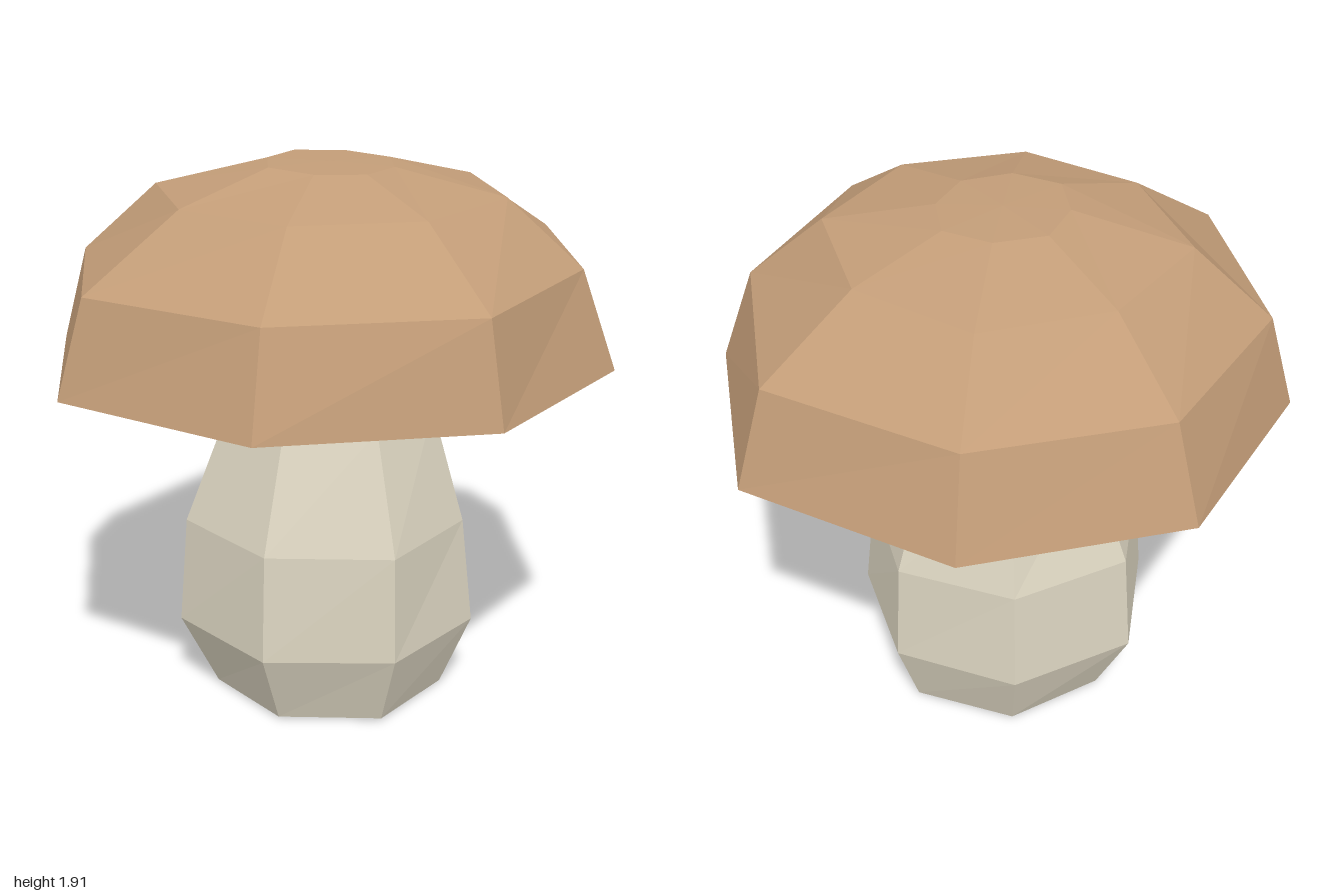
import * as THREE from 'three';

// A ring is { y, r: [radius per corner], tilt }, corners running from +x towards +z.
function corner(ring, i) {
  const n = ring.r.length;
  const a = (i % n) * Math.PI * 2 / n;
  const x = Math.cos(a) * ring.r[i % n];
  return [x, ring.y + x * (ring.tilt || 0), Math.sin(a) * ring.r[i % n]];
}

// Faceted skin through the rings, optionally closed by fans at either end.
function skin(rings, { bottom, top } = {}) {
  const n = rings[0].r.length;
  const pos = [];
  for (let i = 0; i < n; i++) {
    for (let j = 0; j + 1 < rings.length; j++) {
      const a = corner(rings[j], i), b = corner(rings[j], i + 1);
      const c = corner(rings[j + 1], i), d = corner(rings[j + 1], i + 1);
      pos.push(...a, ...c, ...b, ...b, ...c, ...d);
    }
    const first = rings[0], last = rings[rings.length - 1];
    if (bottom !== undefined) pos.push(0, bottom, 0, ...corner(first, i), ...corner(first, i + 1));
    if (top !== undefined) pos.push(0, top, 0, ...corner(last, i + 1), ...corner(last, i));
  }
  const g = new THREE.BufferGeometry();
  g.setAttribute('position', new THREE.Float32BufferAttribute(pos, 3));
  g.computeVertexNormals();
  return g;
}

export function createModel() {
  const brown = new THREE.MeshStandardMaterial({ color: 0xc39d78 });
  brown.name = 'capBrown';
  const cream = new THREE.MeshStandardMaterial({ color: 0xdbd4c0 });
  cream.name = 'stemCream';

  const group = new THREE.Group();
  group.name = 'mushroom';
  const add = (name, geometry, material) => {
    const mesh = new THREE.Mesh(geometry, material);
    mesh.name = name;
    group.add(mesh);
  };

  // Seven-sided bulging stem
  add('stem', skin([
    { y: 0.008, r: [0.41, 0.42, 0.41, 0.42, 0.42, 0.42, 0.43] },
    { y: 0.27, r: [0.52, 0.52, 0.52, 0.55, 0.55, 0.52, 0.52] },
    { y: 0.65, r: [0.48, 0.51, 0.50, 0.52, 0.52, 0.49, 0.50] },
    { y: 1.06, r: [0.365, 0.37, 0.35, 0.36, 0.36, 0.37, 0.36] },
    { y: 1.25, r: [0.32, 0.34, 0.32, 0.32, 0.32, 0.31, 0.32] },
  ], { bottom: 0.0 }), cream);

  // Eight-sided cap, slightly uneven and tilted
  const rim = { y: 1.235, tilt: 0.006, r: [0.98, 1.00, 0.995, 1.02, 0.98, 1.00, 1.00, 1.04] };
  add('cap', skin([
    rim,
    { y: 1.57, tilt: 0.014, r: [0.86, 0.92, 0.88, 0.92, 0.89, 0.88, 0.88, 0.93] },
    { y: 1.805, tilt: 0.006, r: [0.60, 0.58, 0.57, 0.57, 0.62, 0.58, 0.60, 0.58] },
    { y: 1.90, tilt: -0.03, r: [0.22, 0.23, 0.23, 0.24, 0.22, 0.24, 0.23, 0.24] },
  ], { top: 1.905 }), brown);

  // Pale flat underside
  add('capUnderside', skin([rim], { bottom: 1.235 }), cream);

  return group;
}
